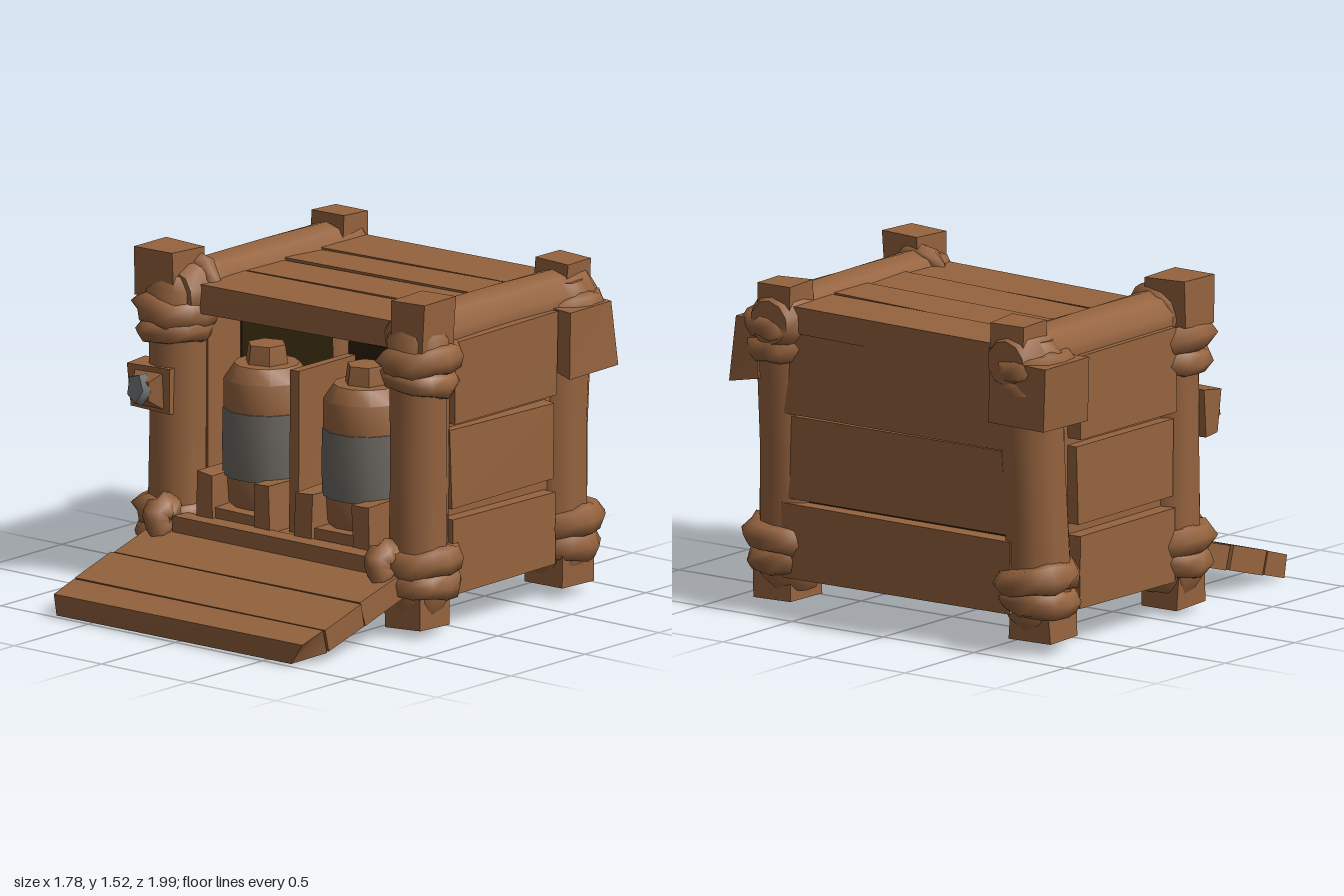
import * as THREE from 'three';
import { mergeVertices, toCreasedNormals } from 'three/addons/utils/BufferGeometryUtils.js';

const material = (name, color) => {
  const m = new THREE.MeshStandardMaterial({ color });
  m.name = name;
  return m;
};

export function createModel() {
  const wood = material('brown wood', 0x95633e);
  const dark = material('dark interior', 0x2b1f09);
  const grey = material('grey label', 0x6b6660);
  const metal = material('grey stud', 0x747878);
  const root = new THREE.Group();
  root.name = 'bottleCrate';

  // Repeatable unevenness, so that shared corners stay together
  const hash = (x, y, z, k) => {
    const s = Math.sin(Math.round(x * 500) * 12.9898 + Math.round(y * 500) * 78.233 + Math.round(z * 500) * 37.719 + k * 11.3) * 43758.5453;
    return (s - Math.floor(s)) * 2 - 1;
  };
  const rough = (geo, amount) => {
    const p = geo.attributes.position;
    for (let i = 0; i < p.count; i++) {
      const [x, y, z] = [p.getX(i), p.getY(i), p.getZ(i)];
      p.setXYZ(i, x + amount * hash(x, y, z, 1), y + amount * hash(x, y, z, 2), z + amount * hash(x, y, z, 3));
    }
    return geo;
  };
  const add = (name, geo, mat, parent = root) => {
    const mesh = new THREE.Mesh(geo, mat);
    mesh.name = name;
    parent.add(mesh);
    return mesh;
  };
  // Box given by its limits on each axis
  const box = (name, [x0, x1], [y0, y1], [z0, z1], mat = wood, amount = 0.006) => {
    const geo = new THREE.BoxGeometry(x1 - x0, y1 - y0, z1 - z0);
    geo.translate((x0 + x1) / 2, (y0 + y1) / 2, (z0 + z1) / 2);
    rough(geo, amount);
    geo.computeVertexNormals();
    return add(name, geo, mat);
  };
  // Round log between two points
  const log = (name, a, b, radius) => {
    const from = new THREE.Vector3(...a), to = new THREE.Vector3(...b);
    const length = from.distanceTo(to);
    const profile = [[0, 0], [0.75, 0], [1.02, 0.05], [1, 0.2], [0.97, 0.5], [1, 0.8], [1.02, 0.95], [0.75, 1], [0, 1]]
      .map(([r, t]) => new THREE.Vector2(r * radius, (t - 0.5) * length));
    const geo = toCreasedNormals(rough(new THREE.LatheGeometry(profile, 10), 0.006), 0.9);
    const mesh = add(name, geo, wood);
    mesh.position.copy(from).lerp(to, 0.5);
    mesh.quaternion.setFromUnitVectors(new THREE.Vector3(0, 1, 0), to.sub(from).normalize());
    return mesh;
  };
  // Thick lumpy binding around a post
  const binding = (name, x, y, z, tilt, tube = 0.068, ring = 0.122) => {
    let geo = new THREE.TorusGeometry(ring, tube, 7, 12);
    geo.deleteAttribute('uv');
    geo.deleteAttribute('normal');
    geo = rough(mergeVertices(geo), 0.011);
    geo.computeVertexNormals();
    const mesh = add(name, geo, wood);
    mesh.position.set(x, y, z);
    mesh.rotation.set(Math.PI / 2 + tilt * 0.4, tilt, 0);
    return mesh;
  };

  for (const s of [-1, 1]) {
    const span = (a, b) => (s > 0 ? [a, b] : [-b, -a]);
    const side = s > 0 ? 'left' : 'right';

    // Corner posts, feet and square tops
    log(side + 'FrontPost', [s * 0.69, 0.1, 0.17], [s * 0.69, 1.4, 0.17], 0.137);
    log(side + 'BackPost', [s * 0.68, 0.1, -0.76], [s * 0.66, 1.4, -0.81], 0.145);
    box(side + 'FrontFoot', span(0.59, 0.8), [0.035, 0.25], [0.08, 0.29], wood, 0.01);
    box(side + 'BackFoot', span(0.6, 0.81), [0.055, 0.25], [-0.87, -0.66], wood, 0.01);
    box(side + 'FrontPostTop', s > 0 ? [0.62, 0.81] : [-0.84, -0.63], [1.3, 1.51], [0.07, 0.28], wood, 0.01);
    box(side + 'BackPostTop', span(0.555, 0.735), [1.3, 1.49], [-0.95, -0.78], wood, 0.01);

    // Upper and lower side beams
    log(side + 'TopBeam', [s * 0.65, 1.32, 0.24], [s * 0.65, 1.315, -0.97], 0.135);
    log(side + 'BottomBeam', [s * 0.65, 0.27, 0.3], [s * 0.66, 0.27, -0.88], 0.11);

    // Bindings on the posts
    binding(side + 'FrontUpperBinding', s * 0.7, 1.24, 0.17, s * 0.1);
    binding(side + 'FrontUpperBinding', s * 0.7, 1.15, 0.17, -s * 0.1, 0.058);
    binding(side + 'FrontLowerBinding', s * 0.7, 0.33, 0.17, s * 0.1);
    binding(side + 'FrontLowerBinding', s * 0.7, 0.245, 0.17, -s * 0.1, 0.064);
    binding(side + 'BackLowerBinding', s * 0.69, 0.33, -0.79, s * 0.12, 0.07, 0.13);
    binding(side + 'BackLowerBinding', s * 0.69, 0.235, -0.78, -s * 0.08, 0.066);
    binding(side + 'BackUpperBinding', s * 0.68, 1.28, -0.81, s * 0.1);
    binding(side + 'BackUpperBinding', s * 0.68, 1.19, -0.8, -s * 0.1);
    box(side + 'BackPostWrap', s > 0 ? [0.74, 0.875] : [-0.86, -0.55], [1.03, 1.31], s > 0 ? [-0.94, -0.65] : [-0.97, -0.65], wood, 0.018);
    const knot = binding(side + 'SillBinding', s * 0.635, 0.33, 0.33, 0, 0.064, 0.046);
    knot.rotation.set(0, Math.PI / 2, 0);
    const collar = binding(side + 'TopBeamBinding', s * 0.64, 1.33, 0.1, 0, 0.04, 0.11);
    collar.rotation.set(0, 0.1 * s, 0);

    // Side planks over an inner wall
    [[0.17, 0.5, 0.8], [0.55, 0.9, 0.785], [0.93, 1.31, 0.805]].forEach(([y0, y1, x]) =>
      box(side + 'SidePlank', span(0.7, x), [y0, y1], [-0.63, 0.06]));
    box(side + 'InnerWall', span(0.56, 0.73), [0.17, 1.32], [-0.8, 0.12], wood, 0);
    box(side + 'SideLining', span(0.552, 0.56), [0.34, 1.26], [-0.8, -0.1], dark, 0);
  }

  // Back planks and dark lining
  [[0.17, 0.5, -0.91], [0.52, 0.9, -0.9], [0.91, 1.36, -0.915]].forEach(([y0, y1, z]) =>
    box('backPlank', [-0.63, 0.63], [y0, y1], [z, -0.82]));
  box('backLining', [-0.57, 0.57], [0.3, 1.28], [-0.825, -0.8], dark, 0);
  box('ceilingLining', [-0.57, 0.57], [1.25, 1.265], [-0.8, 0.16], dark, 0);

  // Roof planks, higher towards one side
  [[-0.1, 0.2], [-0.37, -0.11], [-0.62, -0.38], [-0.92, -0.63]].forEach(([z0, z1]) => {
    const plank = box('roofPlank', [-0.6, 0.6], [1.26, 1.385], [z0, z1], wood, 0.007);
    plank.rotation.z = 0.018;
  });

  // Floor and front sill
  box('floor', [-0.62, 0.62], [0.22, 0.34], [-0.85, 0.28], wood, 0);
  box('frontSill', [-0.56, 0.56], [0.2, 0.35], [0.26, 0.36]);

  // Lowered door made of three planks, the outer one with a chipped corner
  const door = new THREE.Group();
  door.name = 'loweredDoor';
  door.position.set(0, 0.107, 1);
  door.rotation.x = 0.265;
  root.add(door);
  [[0.003, 0.15], [0.158, 0.412], [0.422, 0.71]].forEach(([near, far], i) => {
    const geo = rough(new THREE.BoxGeometry(i < 2 ? 1.43 : 1.41, 0.108, far - near), 0.004);
    const p = geo.attributes.position;
    for (let v = 0; v < p.count && i === 0; v++) {
      if (p.getX(v) > 0 && p.getY(v) < 0 && p.getZ(v) > 0) p.setX(v, p.getX(v) - 0.09);
    }
    geo.computeVertexNormals();
    add('doorPlank', geo, wood, door).position.set(0.01, -0.054, -(near + far) / 2);
  });

  // Bottles with labels, each standing in a cradle
  const lathe = (points, sides) => toCreasedNormals(
    new THREE.LatheGeometry(points.map(([r, y]) => new THREE.Vector2(r, y)), sides, Math.PI / sides), 0.7);
  for (const x of [-0.29, 0.28]) {
    const bottle = new THREE.Group();
    bottle.name = 'bottle';
    bottle.position.set(x, 0, 0.04);
    root.add(bottle);
    add('bottleBase', lathe([[0, 0.35], [0.14, 0.35], [0.17, 0.42], [0.18, 0.54]], 12), wood, bottle);
    add('bottleLabel', lathe([[0.17, 0.53], [0.194, 0.535], [0.197, 0.68], [0.194, 0.835], [0.17, 0.84]], 12), grey, bottle);
    add('bottleShoulder', lathe([[0.19, 0.82], [0.19, 0.97], [0.145, 1.035], [0, 1.04]], 12), wood, bottle);
    const neck = add('bottleStopper', lathe([[0.1, 1.02], [0.1, 1.04], [0.088, 1.12], [0, 1.125]], 6), wood, bottle);
    neck.rotation.y = 0.3;
    for (const s of [-1, 1]) {
      const cx = x + s * 0.165;
      box('cradleSide', [cx - 0.047, cx + 0.047], [0.33, 0.55], [0.1, 0.27]);
    }
    box('cradleRail', [x - 0.2, x + 0.2], [0.33, 0.4], [0.12, 0.255]);
  }
  box('divider', [-0.03, 0.018], [0.33, 1.07], [-0.2, 0.19], wood, 0.004);

  // Latch plate with a raised boss and a tilted stud
  box('latchPlate', [-0.845, -0.62], [0.79, 1.0], [0.22, 0.32], wood, 0.01);
  const boss = new THREE.CylinderGeometry(0.06, 0.125, 0.06, 4, 1).toNonIndexed();
  boss.rotateY(Math.PI / 4).rotateX(Math.PI / 2);
  boss.computeVertexNormals();
  add('latchBoss', boss, wood).position.set(-0.735, 0.895, 0.335);
  const stud = add('latchStud', new THREE.CylinderGeometry(0.066, 0.078, 0.035, 5).rotateX(Math.PI / 2), metal);
  stud.rotation.set(-0.15, -0.3, 0.25);
  stud.position.set(-0.757, 0.9, 0.36);

  return root;
}
